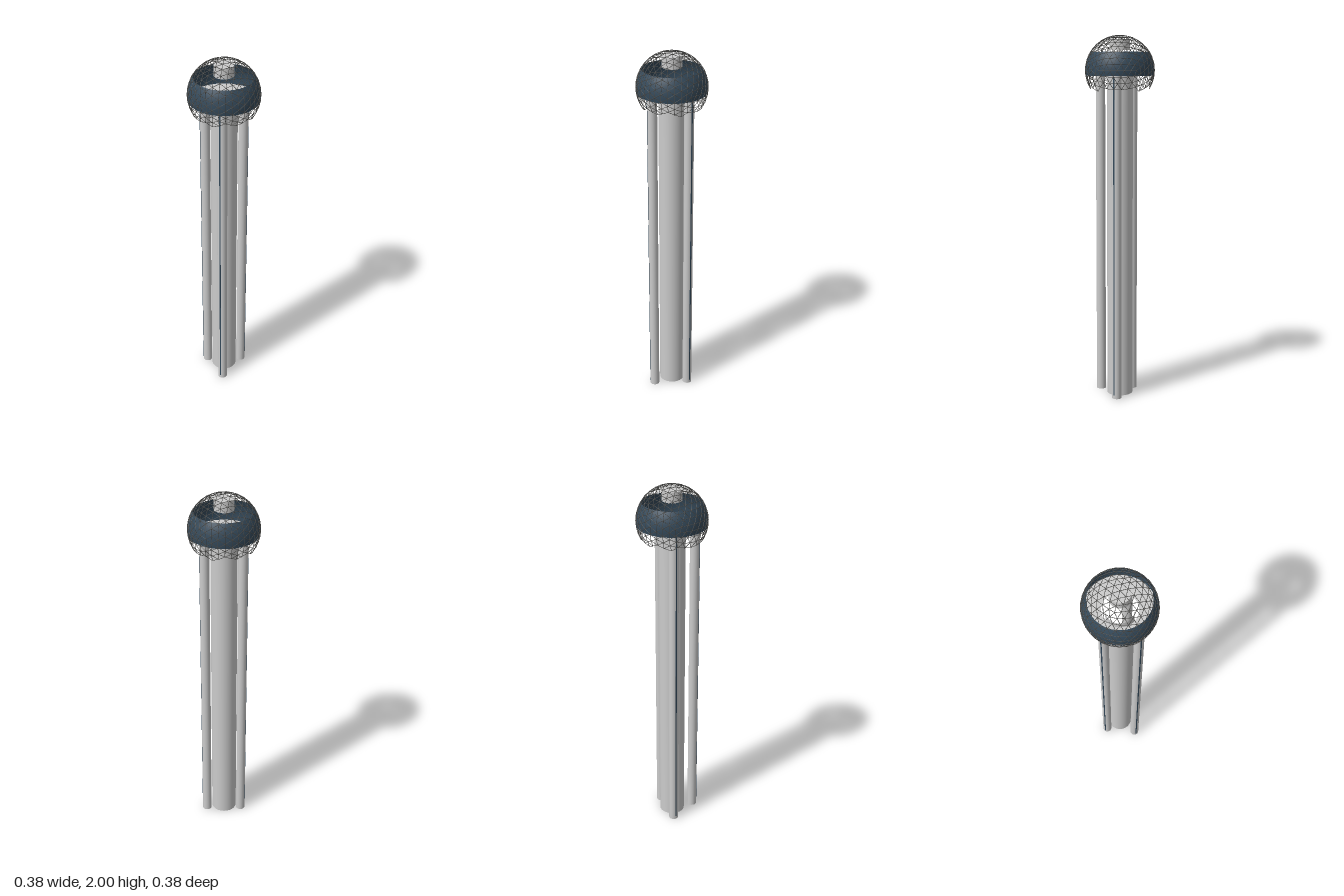
import * as THREE from 'three';
import { mergeGeometries } from 'three/addons/utils/BufferGeometryUtils.js';

const grey = new THREE.MeshStandardMaterial({ color: 0xcccccc });
const floorGrey = new THREE.MeshStandardMaterial({ color: 0xcccccc, side: THREE.DoubleSide });
const glass = new THREE.MeshStandardMaterial({ color: 0x34495a, side: THREE.DoubleSide });
const steel = new THREE.MeshStandardMaterial({ color: 0x4a4a48 });

const R = 0.188, CY = 1.812, FLOOR = 1.785, BAND_TOP = 1.91;

function add(group, name, geometry, material, x = 0, y = 0, z = 0) {
  const mesh = new THREE.Mesh(geometry, material);
  mesh.name = name;
  mesh.position.set(x, y, z);
  group.add(mesh);
  return mesh;
}

// Shaft with a closed foot and an open top
function shaftGeometry(radius, height, segments) {
  const points = [[0, 0], [radius, 0], [radius, 0], [radius, height]];
  return new THREE.LatheGeometry(points.map(p => new THREE.Vector2(...p)), segments);
}

// Thin bars along every edge of a geodesic sphere, cut open at the bottom
function latticeGeometry(radius, frequency, cutY, thickness) {
  const p = new THREE.IcosahedronGeometry(radius, frequency - 1).attributes.position;
  const seen = new Set(), bars = [];
  const key = v => v.toArray().map(n => Math.round(n * 1e4)).join(',');
  const up = new THREE.Vector3(0, 1, 0);
  for (let i = 0; i < p.count; i += 3) {
    const c = [0, 1, 2].map(k => new THREE.Vector3().fromBufferAttribute(p, i + k));
    if (Math.min(c[0].y, c[1].y, c[2].y) < cutY) continue;
    for (let k = 0; k < 3; k++) {
      const a = c[k], b = c[(k + 1) % 3];
      const id = [key(a), key(b)].sort().join('|');
      if (seen.has(id)) continue;
      seen.add(id);
      const d = b.clone().sub(a);
      const bar = new THREE.CylinderGeometry(thickness, thickness, d.length(), 5, 1, true);
      bar.applyQuaternion(new THREE.Quaternion().setFromUnitVectors(up, d.normalize()));
      const m = a.clone().add(b).multiplyScalar(0.5);
      bars.push(bar.translate(m.x, m.y, m.z));
    }
  }
  return mergeGeometries(bars);
}

export function createModel() {
  const tower = new THREE.Group();
  tower.name = 'observationTower';

  // Main shaft and three slender ones, each with a narrow glazed strip
  add(tower, 'centralShaft', shaftGeometry(0.071, FLOOR, 48), grey);
  const outer = [[0.105, 0.01, 0.5], [-0.057, 0.111, 2.48], [-0.08, -0.064, 3.37]];
  outer.forEach(([x, z, angle], i) => {
    add(tower, `outerShaft${i + 1}`, shaftGeometry(0.026, FLOOR, 24), grey, x, 0, z);
    const strip = add(tower, `shaftWindow${i + 1}`, new THREE.BoxGeometry(0.004, 1.76, 0.007), glass,
      x + 0.025 * Math.cos(angle), 0.9, z + 0.025 * Math.sin(angle));
    strip.rotation.y = -angle;
  });

  // Ring floor of the pod
  const floor = add(tower, 'podFloor', new THREE.RingGeometry(0.09, 0.182, 64), floorGrey, 0, FLOOR, 0);
  floor.rotation.x = -Math.PI / 2;

  // Glazed band following the sphere
  const bandR = R - 0.004, profile = [];
  for (let i = 0; i <= 8; i++) {
    const y = FLOOR + (BAND_TOP - FLOOR) * i / 8 - CY;
    profile.push(new THREE.Vector2(Math.sqrt(bandR * bandR - y * y), y));
  }
  add(tower, 'glassBand', new THREE.LatheGeometry(profile, 64), glass, 0, CY, 0);

  // Drum under the crown of the lattice
  add(tower, 'crownDrum', new THREE.CylinderGeometry(0.053, 0.053, 0.058, 40), grey, 0, 1.948, 0);

  // Geodesic cage
  add(tower, 'geodesicLattice', latticeGeometry(R - 0.001, 6, -0.108, 0.0014), steel, 0, CY, 0);
  return tower;
}
